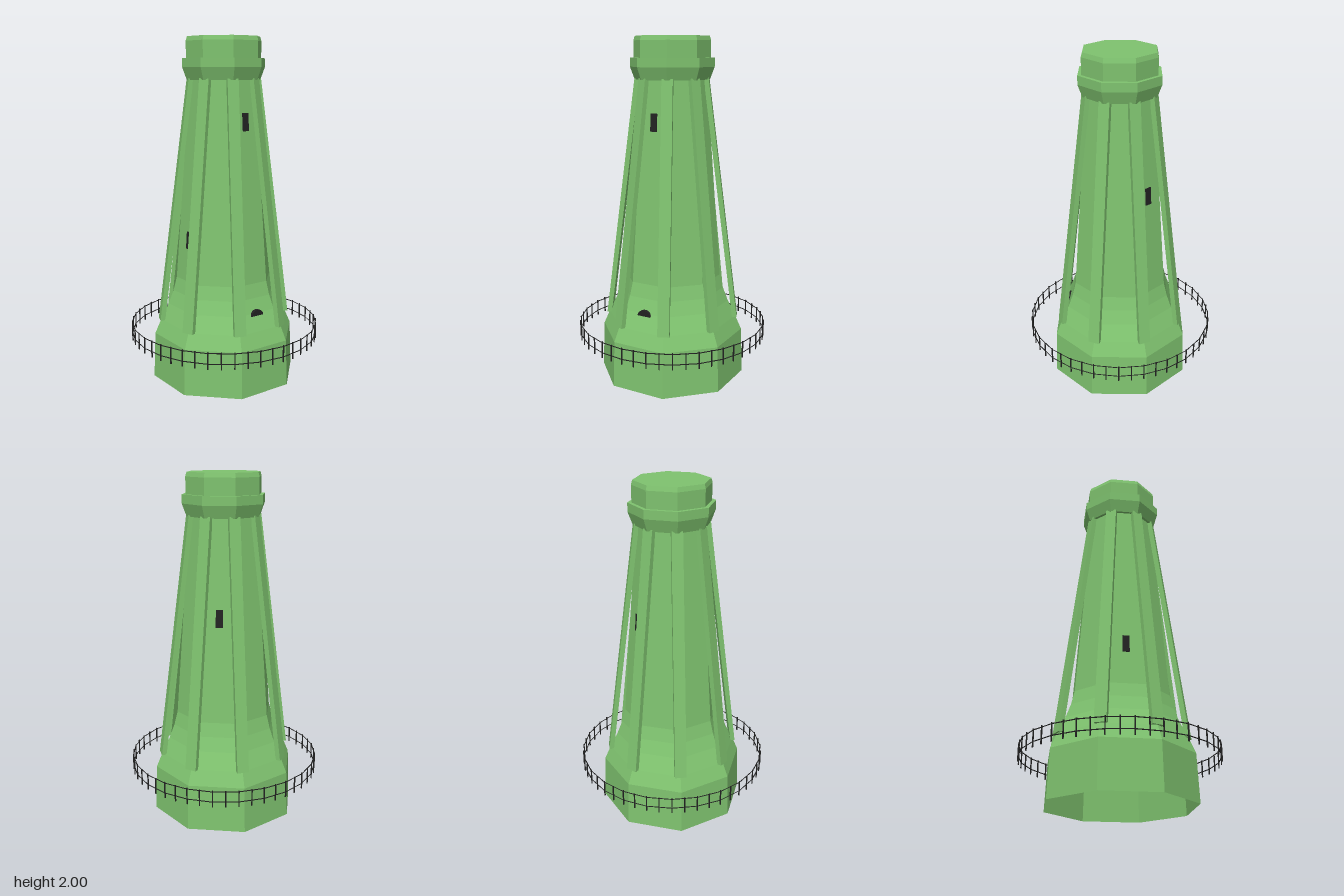
import * as THREE from 'three';

const green = new THREE.MeshStandardMaterial({ color: 0x7fc36f, side: THREE.DoubleSide });
green.name = 'paintedGreen';
const dark = new THREE.MeshStandardMaterial({ color: 0x222222 });
dark.name = 'darkIron';

const SIDES = 8;
const CORNER = 1 / Math.cos(Math.PI / SIDES); // flat distance to corner radius

function flat(geometry) {
  const g = geometry.toNonIndexed();
  g.computeVertexNormals();
  return g;
}

// Octagonal shell from [distance to flat, height] pairs, bottom to top
function octagon(name, profile) {
  const points = profile.map(([r, y]) => new THREE.Vector2(r * CORNER, y));
  const mesh = new THREE.Mesh(flat(new THREE.LatheGeometry(points, SIDES, Math.PI / SIDES)), green);
  mesh.name = name;
  return mesh;
}

// Flat distance of the tower wall at a height above the skirt
const wallAt = (y) => THREE.MathUtils.mapLinear(y, 0.61, 1.76, 0.266, 0.185);

export function createModel() {
  const model = new THREE.Group();
  model.name = 'tower';

  // Base, open below, with a ceiling inside
  model.add(octagon('base', [[0.4, 0], [0.39, 0.27]]));
  const ceiling = new THREE.Mesh(
    new THREE.CircleGeometry(0.39 * CORNER, SIDES, Math.PI / SIDES).rotateX(Math.PI / 2), green);
  ceiling.position.y = 0.27;
  ceiling.name = 'baseCeiling';
  model.add(ceiling);

  // Curved skirt and tapering shaft
  model.add(octagon('shaft', [
    [0.39, 0.27], [0.356, 0.355], [0.313, 0.45], [0.285, 0.53], [0.266, 0.61], [0.185, 1.76],
  ]));

  // Flared cornice and bevelled cap
  model.add(octagon('cornice', [[0.185, 1.76], [0.2, 1.76], [0.224, 1.83], [0.224, 1.88], [0.203, 1.88]]));
  model.add(octagon('cap', [[0.203, 1.88], [0.204, 1.975], [0.197, 2], [0, 2]]));

  // Leaning ribs, one at each corner
  const low = 0.355, high = 1.77;
  const ribGeometry = new THREE.BoxGeometry(0.068, high - low, 0.028);
  const p = ribGeometry.attributes.position;
  for (let i = 0; i < p.count; i++) {
    const top = p.getY(i) > 0;
    p.setZ(i, p.getZ(i) + (top ? 0.197 : 0.381));
    if (top) p.setX(i, p.getX(i) * 0.92);
  }
  const ribShape = flat(ribGeometry);
  for (let i = 0; i < SIDES; i++) {
    const rib = new THREE.Mesh(ribShape, green);
    rib.position.y = (low + high) / 2;
    rib.rotation.y = ((i + 0.5) * Math.PI * 2) / SIDES;
    rib.name = 'rib';
    model.add(rib);
  }

  // Slit windows winding around the shaft
  const lean = Math.atan((0.266 - 0.185) / 1.15);
  for (const [step, y] of [[0, 1.53], [3, 1.213], [6, 0.85]]) {
    const pivot = new THREE.Group();
    pivot.name = 'window';
    pivot.rotation.y = (step * Math.PI) / 4;
    const pane = new THREE.Mesh(new THREE.BoxGeometry(0.04, 0.1, 0.008), dark);
    pane.position.set(0, y, wallAt(y) + 0.001);
    pane.rotation.x = -lean;
    pane.name = 'windowPane';
    pivot.add(pane);
    model.add(pivot);
  }

  // Arched door top showing through the skirt
  const arch = new THREE.Shape().absellipse(0, 0, 0.042, 0.034, 0, Math.PI, false);
  const door = new THREE.Mesh(
    new THREE.ExtrudeGeometry(arch, { depth: 0.022, bevelEnabled: false, curveSegments: 8 }), dark);
  door.position.set(0, 0.437, 0.303);
  door.name = 'doorArch';
  model.add(door);

  // Round railing
  const railing = new THREE.Group();
  railing.name = 'railing';
  const R = 0.556;
  for (const y of [0.326, 0.265]) {
    const rail = new THREE.Mesh(new THREE.TorusGeometry(R, 0.003, 4, 24), dark);
    rail.rotation.x = Math.PI / 2;
    rail.position.y = y;
    rail.name = 'rail';
    railing.add(rail);
  }
  const postGeometry = new THREE.BoxGeometry(0.006, 0.098, 0.006);
  for (let i = 0; i < 48; i++) {
    const a = (i * Math.PI) / 24;
    const post = new THREE.Mesh(postGeometry, dark);
    post.position.set(R * Math.sin(a), 0.284, R * Math.cos(a));
    post.rotation.y = a;
    post.name = 'post';
    railing.add(post);
  }
  model.add(railing);
  return model;
}
